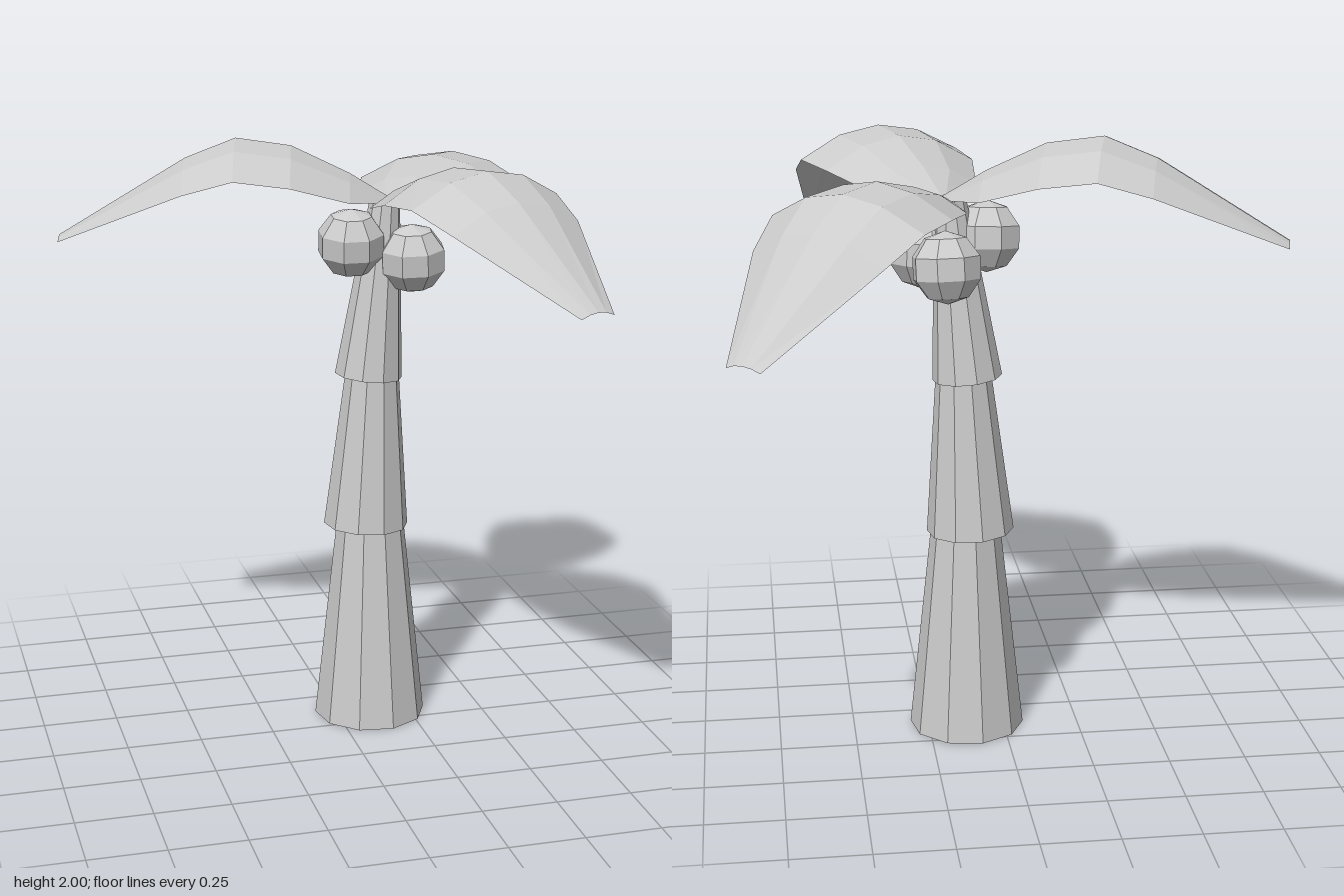
import * as THREE from 'three';

const material = new THREE.MeshStandardMaterial({ color: 0xcccccc, flatShading: true });
const leafMaterial = new THREE.MeshStandardMaterial({ color: 0xcccccc, flatShading: true, side: THREE.DoubleSide });

// Tapered trunk piece whose axis runs from one point to another
function trunkSegment(name, from, to, r0, r1) {
  const a = new THREE.Vector3(...from), b = new THREE.Vector3(...to);
  const axis = b.clone().sub(a);
  const geometry = new THREE.CylinderGeometry(r1, r0, axis.length(), 10);
  geometry.rotateY(0.18);
  const mesh = new THREE.Mesh(geometry, material);
  mesh.name = name;
  mesh.position.copy(a).add(b).multiplyScalar(0.5);
  mesh.quaternion.setFromUnitVectors(new THREE.Vector3(0, 1, 0), axis.normalize());
  return mesh;
}

// Arched leaf growing along +x; each row is [distance, height, half width, edge drop]
function leafGeometry() {
  const rows = [
    [0, 0, 0.03, 0.01], [0.05, 0.03, 0.085, 0.03], [0.14, 0.085, 0.185, 0.07],
    [0.33, 0.175, 0.26, 0.1], [0.51, 0.2, 0.28, 0.1], [0.675, 0.135, 0.24, 0.085],
    [1.09, -0.115, 0.062, 0.015],
  ];
  const columns = 4, positions = [], index = [];
  rows.forEach(([d, h, w, drop], i) => {
    for (let j = 0; j <= columns; j++) {
      const u = (j / columns) * 2 - 1;
      positions.push(d, h - drop * u * u, w * u);
      if (i && j) {
        const c = i * (columns + 1) + j, p = c - columns - 1;
        index.push(p - 1, p, c, p - 1, c, c - 1);
      }
    }
  });
  const geometry = new THREE.BufferGeometry();
  geometry.setAttribute('position', new THREE.Float32BufferAttribute(positions, 3));
  // Reversed winding makes the upper side the front
  for (let k = 0; k < index.length; k += 3) [index[k + 1], index[k + 2]] = [index[k + 2], index[k + 1]];
  geometry.setIndex(index);
  geometry.computeVertexNormals();
  return geometry;
}

export function createModel() {
  const model = new THREE.Group();
  model.name = 'palmTree';

  // Trunk: three stacked tapering pieces, each overhanging the one below
  const trunk = new THREE.Group();
  trunk.name = 'trunk';
  trunk.add(
    trunkSegment('trunkBase', [0.12, 0, -0.105], [0.12, 0.72, -0.105], 0.19, 0.112),
    trunkSegment('trunkMiddle', [0.105, 0.69, -0.106], [0.125, 1.22, -0.104], 0.143, 0.09),
    trunkSegment('trunkTop', [0.113, 1.21, -0.107], [0.165, 1.8, -0.1], 0.113, 0.05),
  );
  model.add(trunk);

  // Coconuts under the crown
  const nut = new THREE.SphereGeometry(0.115, 8, 5);
  [[0.245, 1.61, -0.05], [0.045, 1.665, -0.08], [0.19, 1.6, -0.235]].forEach((p, i) => {
    const mesh = new THREE.Mesh(nut, material);
    mesh.name = `coconut${i + 1}`;
    mesh.position.set(...p);
    mesh.rotation.set(0.08, i * 0.9 + 0.2, 0.06);
    model.add(mesh);
  });

  // Leaves: [tip x, tip z, pitch, scale]
  const leaf = leafGeometry();
  const root = new THREE.Vector3(0.19, 1.8, -0.1);
  [[-0.87, -0.37, 0, 1], [0.825, -0.86, -0.21, 0.96], [0.525, 0.87, -0.07, 0.96]].forEach(([x, z, pitch, s], i) => {
    const mesh = new THREE.Mesh(leaf, leafMaterial);
    mesh.name = `leaf${i + 1}`;
    mesh.position.copy(root);
    mesh.rotation.set(0, Math.atan2(root.z - z, x - root.x), pitch, 'YZX');
    mesh.scale.set(s, s, 1);
    model.add(mesh);
  });

  return model;
}
